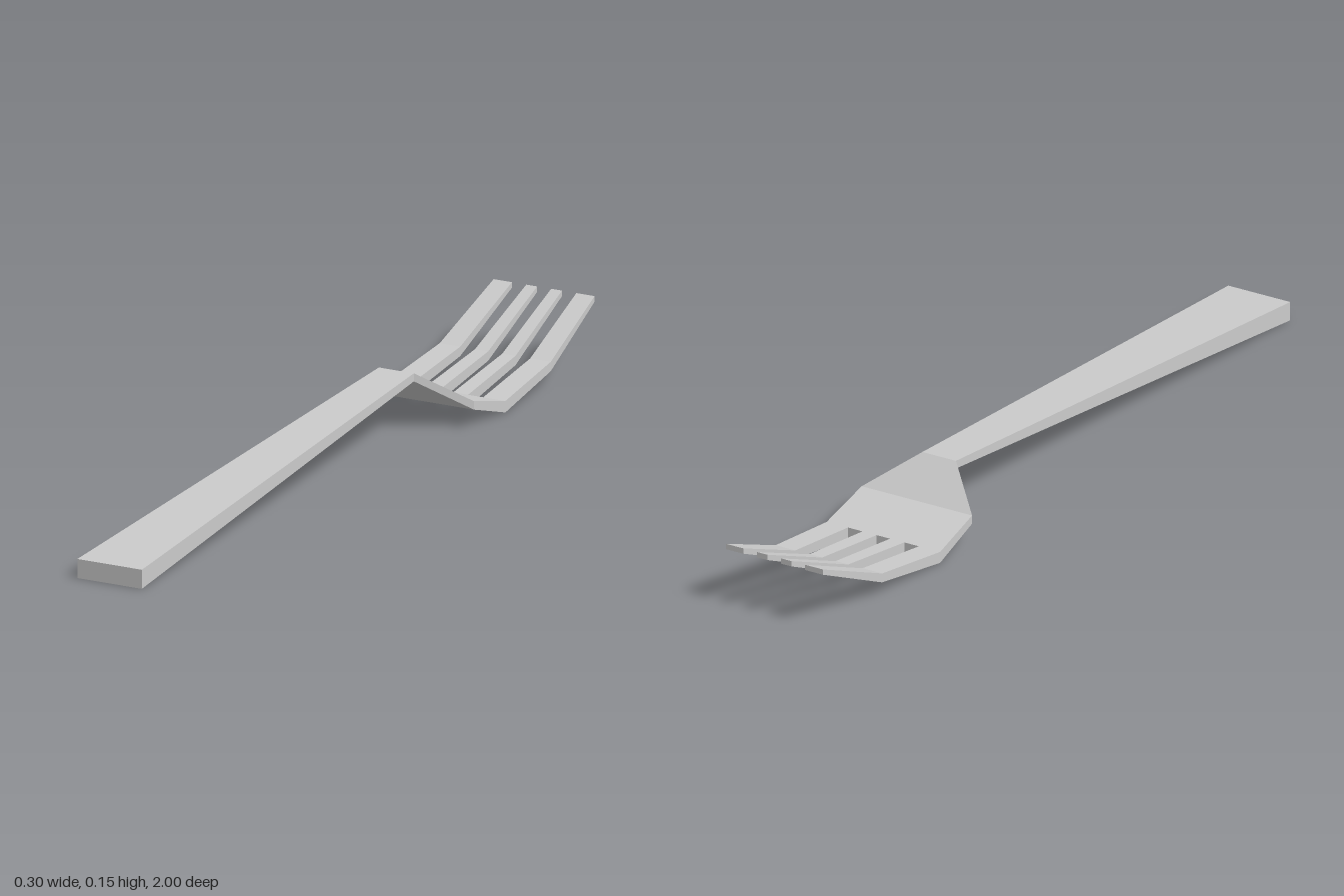
import * as THREE from 'three';

const material = new THREE.MeshStandardMaterial({ color: 0xcccccc, flatShading: true });

// Side profile stations: [z, bottom y, top y]
const HANDLE_END = [1, 0, 0.045];
const NECK = [-0.32, 0.12, 0.139];
const SHOULDER = [-0.412, 0.044, 0.064];
const BOWL = [-0.55, 0, 0.027];
const BEND = [-0.775, 0.034, 0.056];
const TIP = [-1, 0.134, 0.147];

// Rectangular bar lofted through [station, xMin, xMax] sections, running towards -z
function bar(name, sections) {
  const rings = sections.map(([[z, y0, y1], x0, x1]) =>
    [[x0, y0, z], [x1, y0, z], [x1, y1, z], [x0, y1, z]]);
  const pos = [];
  const quad = (a, b, c, d) => pos.push(...a, ...b, ...c, ...a, ...c, ...d);
  for (let i = 0; i < rings.length - 1; i++) {
    const p = rings[i], q = rings[i + 1];
    for (let k = 0; k < 4; k++) {
      const n = (k + 1) % 4;
      quad(p[k], q[k], q[n], p[n]);
    }
  }
  const last = rings[rings.length - 1];
  quad(...rings[0]);
  quad(last[3], last[2], last[1], last[0]);
  const geometry = new THREE.BufferGeometry();
  geometry.setAttribute('position', new THREE.Float32BufferAttribute(pos, 3));
  geometry.computeVertexNormals();
  const mesh = new THREE.Mesh(geometry, material);
  mesh.name = name;
  return mesh;
}

export function createModel() {
  const fork = new THREE.Group();
  fork.name = 'fork';

  // Tapered handle
  fork.add(bar('handle', [[HANDLE_END, -0.083, 0.083], [NECK, -0.045, 0.045]]));

  // Head flaring from the neck to the root of the tines
  fork.add(bar('head', [
    [NECK, -0.045, 0.045], [SHOULDER, -0.148, 0.148], [BOWL, -0.152, 0.152],
  ]));

  // Four upturned tines: inner and outer edges at root, bend and tip
  const tines = {
    innerTine: [[0.018, 0.056], [0.018, 0.052], [0.018, 0.046]],
    outerTine: [[0.095, 0.152], [0.09, 0.143], [0.083, 0.13]],
  };
  for (const [name, edges] of Object.entries(tines)) {
    for (const side of [1, -1]) {
      const sections = [BOWL, BEND, TIP].map((station, i) => {
        const [a, b] = edges[i];
        return side > 0 ? [station, a, b] : [station, -b, -a];
      });
      fork.add(bar(`${name}${side > 0 ? 'Left' : 'Right'}`, sections));
    }
  }
  return fork;
}
